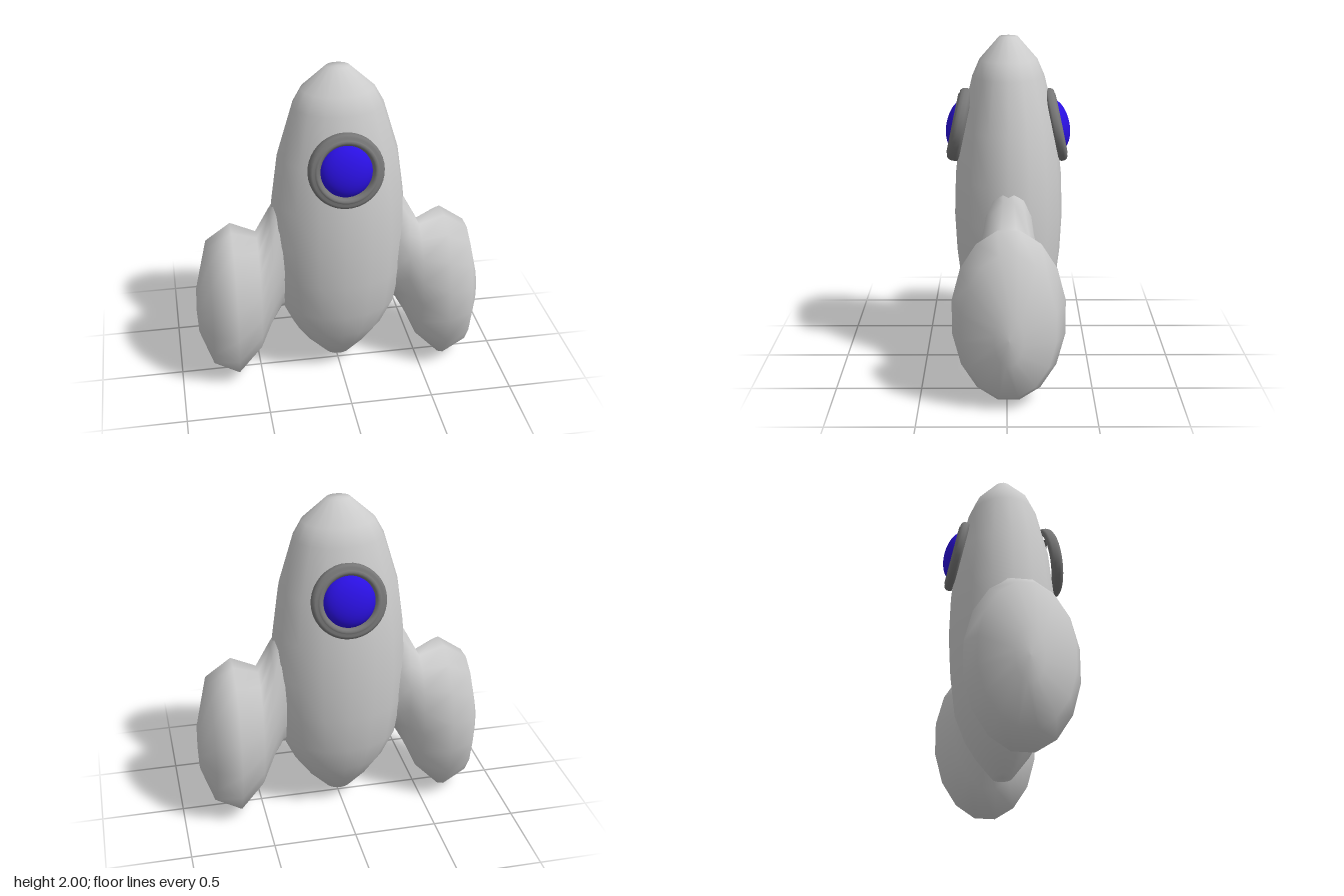
import * as THREE from 'three';

const mat = (color) => new THREE.MeshStandardMaterial({ color });
const lathe = (points, sides) =>
  new THREE.LatheGeometry(points.map(([r, y]) => new THREE.Vector2(r, y)), sides);

function addMesh(parent, name, geometry, material) {
  const mesh = new THREE.Mesh(geometry, material);
  mesh.name = name;
  parent.add(mesh);
  return mesh;
}

// Elliptical cross-sections along x: [x, centre height, half height, half depth]
function loftAlongX(sections, sides) {
  const positions = [], index = [];
  const fit = 1 / Math.cos(Math.PI / sides);
  sections.forEach(([x, yc, hy, hz], i) => {
    for (let j = 0; j < sides; j++) {
      const a = ((j + 0.5) / sides) * Math.PI * 2;
      positions.push(x, yc + hy * fit * Math.cos(a), hz * fit * Math.sin(a));
      if (i === sections.length - 1) continue;
      const p = i * sides + j, q = i * sides + ((j + 1) % sides);
      index.push(p, q, p + sides, q, q + sides, p + sides);
    }
  });
  const g = new THREE.BufferGeometry();
  g.setAttribute('position', new THREE.Float32BufferAttribute(positions, 3));
  g.setIndex(index);
  g.computeVertexNormals();
  return g;
}

export function createModel() {
  const model = new THREE.Group();
  model.name = 'rocket';
  const hull = mat(0xcccccc), frame = mat(0x777777), glass = mat(0x2a10e0);

  // Fuselage, slightly flattened front to back
  const body = addMesh(model, 'fuselage', lathe([
    [0, 0.06], [0.075, 0.06], [0.2, 0.19], [0.28, 0.3], [0.36, 0.47], [0.395, 0.7],
    [0.41, 0.93], [0.4, 1.18], [0.36, 1.47], [0.27, 1.77], [0.215, 1.87], [0.07, 2], [0, 2],
  ], 16), hull);
  body.scale.z = 0.79;
  body.position.z = -0.01;

  // Side pods with the necks that blend them into the fuselage
  const podGeometry = loftAlongX([
    [0.25, 0.86, 0.4, 0.12],
    [0.36, 0.82, 0.38, 0.15],
    [0.42, 0.715, 0.385, 0.165],
    [0.5, 0.55, 0.4, 0.22],
    [0.65, 0.505, 0.505, 0.32],
    [0.8, 0.495, 0.415, 0.265],
    [0.878, 0.45, 0.15, 0.08],
    [0.885, 0.45, 0, 0],
  ], 16);
  for (const [name, turn] of [['leftPod', 0], ['rightPod', Math.PI]]) {
    const pod = addMesh(model, name, podGeometry, hull);
    pod.rotation.y = turn;
    pod.position.z = -0.01;
  }

  // Portholes: stepped frame and domed glass, tilted up with the hull
  const frameGeometry = lathe([
    [0.19, -0.03], [0.215, -0.025], [0.22, -0.01], [0.22, 0.015], [0.213, 0.033],
    [0.2, 0.043], [0.187, 0.04], [0.183, 0.048], [0.172, 0.05], [0.16, 0.045], [0.15, 0.02], [0.15, -0.03],
  ], 40);
  const domeGeometry = new THREE.SphereGeometry(0.155, 32, 10, 0, Math.PI * 2, 0, Math.PI / 2);
  for (const [name, turn, out, depth] of [
    ['frontPorthole', 0, 0.275, 1], ['backPorthole', Math.PI, 0.29, 0.75],
  ]) {
    const side = new THREE.Group();
    side.name = name;
    side.rotation.y = turn;
    const porthole = new THREE.Group();
    porthole.name = 'tiltedPorthole';
    porthole.position.set(0, 1.475, out);
    porthole.rotation.x = Math.PI / 2 - 0.21;
    addMesh(porthole, 'portholeFrame', frameGeometry, frame).scale.y = depth;
    addMesh(porthole, 'portholeGlass', domeGeometry, glass).scale.y = 0.54;
    side.add(porthole);
    model.add(side);
  }
  return model;
}
